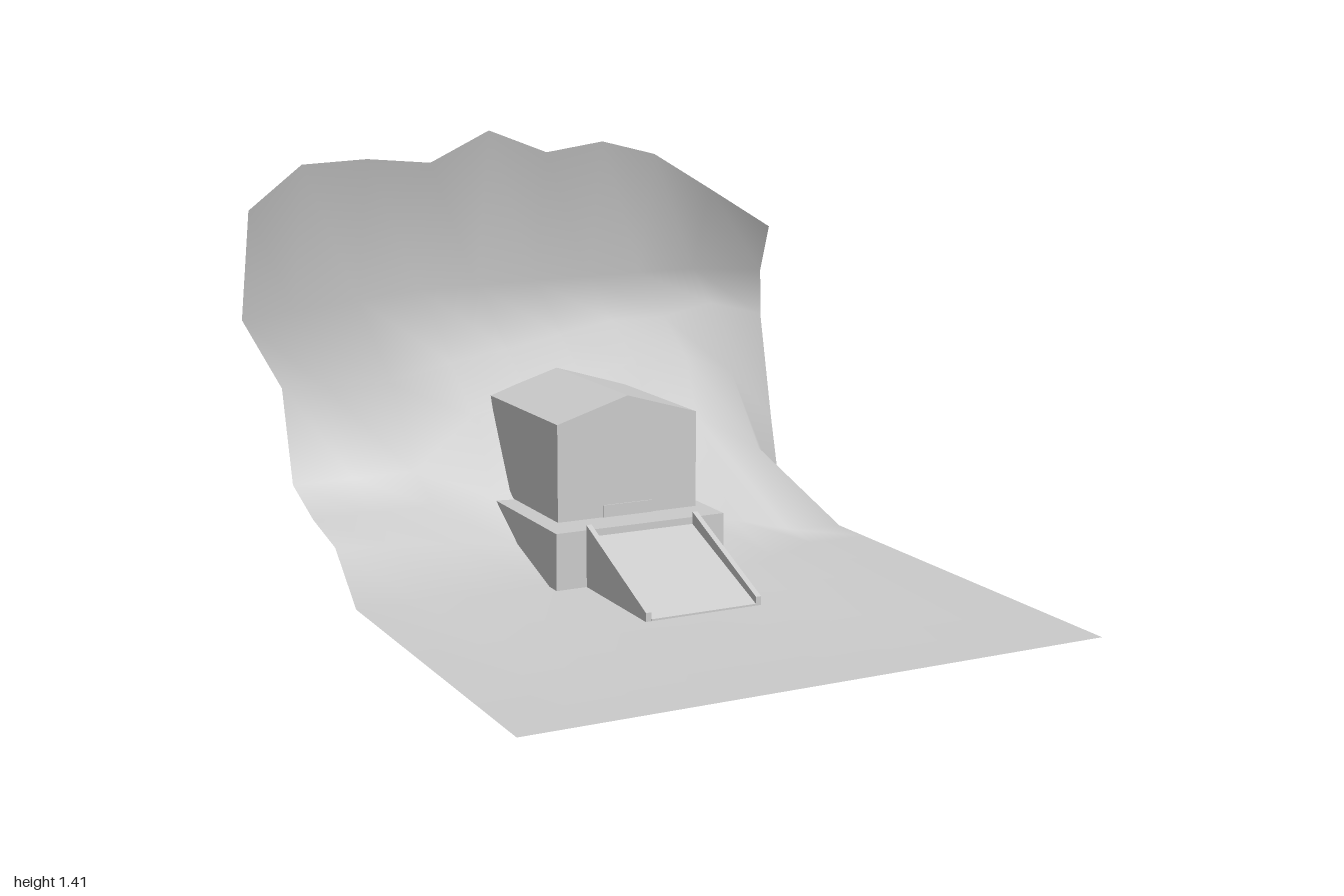
import * as THREE from 'three';

const mat = new THREE.MeshStandardMaterial({ color: 0xcccccc, side: THREE.DoubleSide });

function addMesh(parent, name, geometry) {
  const mesh = new THREE.Mesh(geometry, mat);
  mesh.name = name;
  parent.add(mesh);
  return mesh;
}

// Smooth surface over a grid of points, given as rows
function sheet(rows) {
  const n = rows[0].length, index = [];
  for (let r = 0; r < rows.length - 1; r++) {
    for (let c = 0; c < n - 1; c++) {
      const a = r * n + c, b = a + 1, d = a + n, e = d + 1;
      index.push(a, b, d, b, e, d);
    }
  }
  const g = new THREE.BufferGeometry();
  g.setAttribute('position', new THREE.Float32BufferAttribute(rows.flat(2), 3));
  g.setIndex(index);
  g.computeVertexNormals();
  return g;
}

// Solid with a (z, y) side profile, running from x0 to x1
function sideExtrude(points, x0, x1) {
  const shape = new THREE.Shape(points.map(([z, y]) => new THREE.Vector2(z, y)));
  const g = new THREE.ExtrudeGeometry(shape, { depth: x1 - x0, bevelEnabled: false });
  return g.rotateY(-Math.PI / 2).translate(x1, 0, 0);
}

function block(x0, x1, y0, y1, z0, z1) {
  return new THREE.BoxGeometry(x1 - x0, y1 - y0, z1 - z0)
    .translate((x0 + x1) / 2, (y0 + y1) / 2, (z0 + z1) / 2);
}

// Slope sections across the terrain: column number, then (z, y) from foot to overhang
const sections = [
  [0, [-0.25, 0], [-0.44, 0.15], [-0.66, 0.19], [-0.87, 0.26], [-0.96, 0.57], [-0.95, 0.81]],
  [2, [-0.22, 0], [-0.45, 0.11], [-0.66, 0.19], [-0.83, 0.27], [-0.9, 0.57], [-0.96, 0.85]],
  [3, [-0.2, 0], [-0.46, 0.08], [-0.66, 0.2], [-0.8, 0.45], [-0.87, 0.62], [-0.96, 0.87]],
  [6, [-0.1, 0], [-0.46, 0.12], [-0.68, 0.29], [-0.83, 0.58], [-0.9, 0.72], [-0.95, 0.88]],
  [7, [-0.2, 0], [-0.5, 0.06], [-0.76, 0.38], [-0.84, 0.58], [-0.91, 0.72], [-0.95, 0.88]],
  [8, [-0.3, 0], [-0.46, 0.01], [-0.68, 0.26], [-0.88, 0.5], [-0.95, 0.75], [-0.96, 0.88]],
  [9, [-0.3, 0], [-0.46, 0], [-0.87, 0], [-0.95, 0.3], [-0.99, 0.69], [-0.955, 0.86]],
];

// Jagged upper rim as (x, y)
const rim = [[-1, 1.18], [-0.82, 1.32], [-0.6, 1.33], [-0.38, 1.31], [-0.17, 1.41],
  [0.04, 1.33], [0.25, 1.36], [0.45, 1.31], [0.67, 1.18], [0.93, 1.03]];

function sectionPoint(col, row) {
  const k = Math.max(1, sections.findIndex((s) => s[0] >= col));
  const a = sections[k - 1], b = sections[k];
  const t = (col - a[0]) / (b[0] - a[0]);
  return [0, 1].map((i) => THREE.MathUtils.lerp(a[row][i], b[row][i], t));
}

function terrainRows() {
  const rows = [];
  for (let r = 0; r <= 7; r++) {
    rows.push(rim.map(([rx, ry], c) => {
      let x = -0.87 + (1.87 * c) / 9;
      if (r === 0) return [x, 0, 1];
      if (r === 7) return [rx, ry, c === 9 ? -0.86 : -0.83];
      if (r === 6) x = c === 9 ? 0.95 : rx;
      if (r === 5) x = c === 0 ? -0.87 : x * 0.6 + rx * 0.4;
      const [z, y] = sectionPoint(c, r);
      return [x, y, z];
    }));
  }
  return rows;
}

export function createModel() {
  const model = new THREE.Group();
  model.name = 'cliffEntrance';

  // Ground sweeping up into the cliff
  addMesh(model, 'groundAndCliff', sheet(terrainRows()));

  // Base platform, partly buried in the slope
  addMesh(model, 'basePlatform', block(-0.24, 0.36, 0.002, 0.188, -0.66, -0.15));

  // Ramp with two thin side walls
  const ramp = new THREE.Group();
  ramp.name = 'ramp';
  model.add(ramp);
  addMesh(ramp, 'rampSurface',
    sideExtrude([[0.27, 0.002], [0.27, 0.008], [-0.15, 0.165], [-0.15, 0.002]], -0.115, 0.245));
  for (const [name, x] of [['rightRampWall', -0.135], ['leftRampWall', 0.245]]) {
    addMesh(ramp, name,
      sideExtrude([[0.27, 0.002], [0.27, 0.03], [-0.15, 0.205], [-0.15, 0.002]], x, x + 0.018));
  }

  // Gabled chamber, open at the back
  const chamber = new THREE.Group();
  chamber.name = 'chamber';
  model.add(chamber);
  const outline = [[-0.18, 0.19], [0.32, 0.19], [0.32, 0.51], [0.07, 0.585], [-0.18, 0.51]];
  const front = new THREE.ShapeGeometry(
    new THREE.Shape(outline.map(([x, y]) => new THREE.Vector2(x, y)))).translate(0, 0, -0.27);
  addMesh(chamber, 'chamberFront', front);
  const names = ['chamberFloor', 'chamberLeftWall', 'roofLeft', 'roofRight', 'chamberRightWall'];
  outline.forEach(([x, y], i) => {
    const [x2, y2] = outline[(i + 1) % outline.length];
    addMesh(chamber, names[i], sheet([
      [[x, y, -0.27], [x2, y2, -0.27]],
      [[x, y, -0.83], [x2, y2, -0.83]],
    ]));
  });

  // Low sill at the foot of the chamber front
  addMesh(chamber, 'doorSill', block(-0.02, 0.16, 0.19, 0.23, -0.28, -0.265));

  return model;
}
